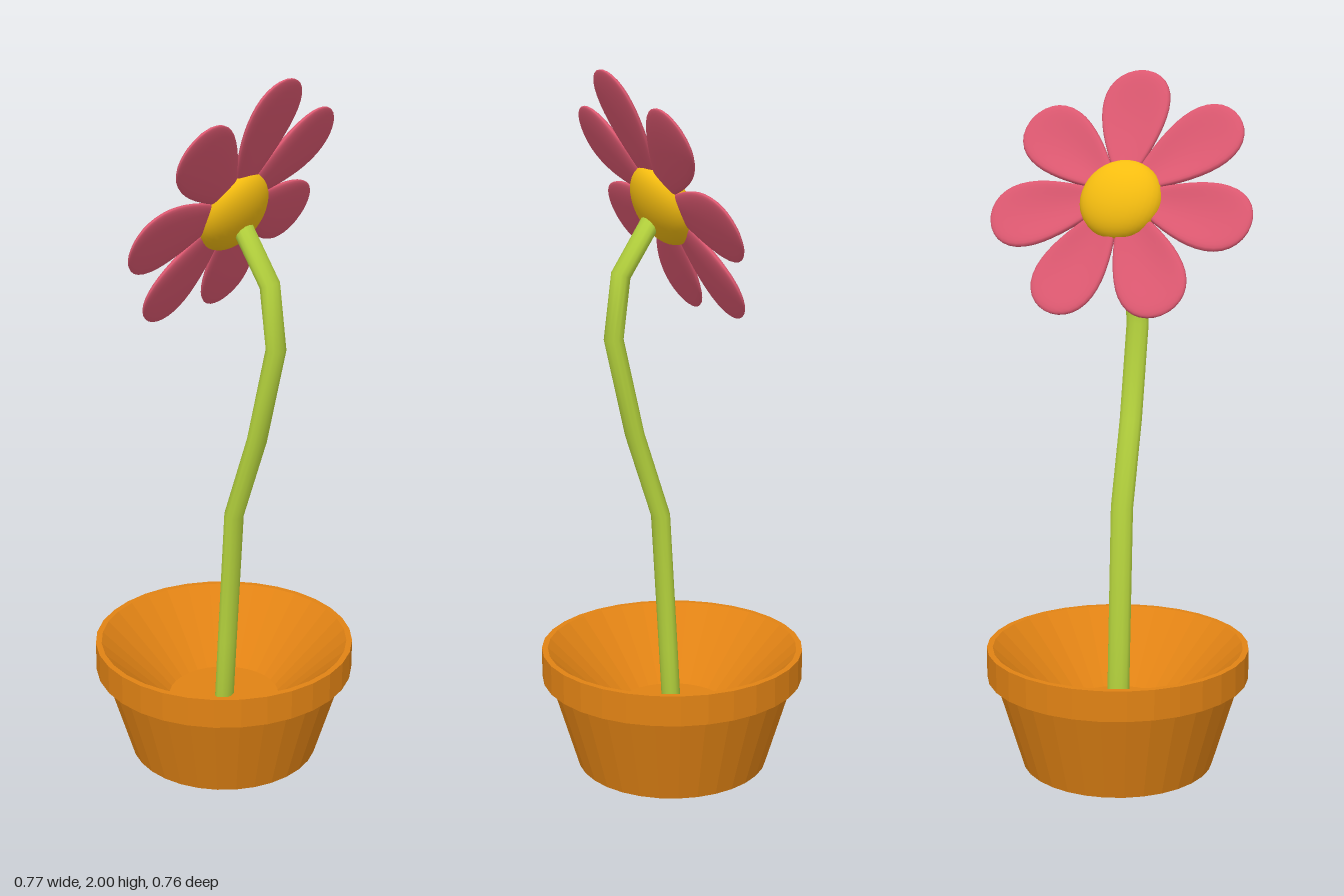
import * as THREE from 'three';
import { mergeVertices } from 'three/addons/utils/BufferGeometryUtils.js';

const mat = (color, opts = {}) => new THREE.MeshStandardMaterial({ color, ...opts });

function addMesh(parent, name, geometry, material) {
  const mesh = new THREE.Mesh(geometry, material);
  mesh.name = name;
  parent.add(mesh);
  return mesh;
}

// Move every vertex by a rule, then weld seams and smooth
function reshape(geometry, rule) {
  const pos = geometry.attributes.position;
  const v = new THREE.Vector3();
  for (let i = 0; i < pos.count; i++) {
    rule(v.fromBufferAttribute(pos, i));
    pos.setXYZ(i, v.x, v.y, v.z);
  }
  geometry.deleteAttribute('uv');
  geometry.deleteAttribute('normal');
  const welded = mergeVertices(geometry, 1e-5);
  welded.computeVertexNormals();
  return welded;
}

// Pot: outer wall, rim, sloping inside and floor in one profile
function potGeometry() {
  const profile = [
    [0, 0], [0.28, 0], [0.36, 0.265], [0.382, 0.265], [0.382, 0.352],
    [0.365, 0.352], [0.165, 0.16], [0, 0.16],
  ].map(([r, y]) => new THREE.Vector2(r, y));
  return new THREE.LatheGeometry(profile, 32);
}

// Stem: a straight tube whose rings follow a bent path [z, y], mitred at each bend
function stemGeometry() {
  const path = [
    [0, 0.12], [0.013, 0.35], [0.037, 0.755], [0.117, 1.0],
    [0.179, 1.275], [0.156, 1.45], [0.06, 1.6],
  ].map(([z, y]) => new THREE.Vector2(z, y));
  const last = path.length - 1;
  const geometry = new THREE.CylinderGeometry(1, 1, last, 12, last);
  return reshape(geometry, (v) => {
    const i = Math.round(v.y + last / 2);
    const along = path[Math.min(i + 1, last)].clone().sub(path[Math.max(i - 1, 0)]).normalize();
    const side = v.z * 0.026;
    v.set(v.x * 0.034, path[i].y - along.x * side, path[i].x + along.y * side);
  });
}

// Petal: flattened drop along +y, rounded behind, dished on its face
function petalGeometry() {
  return reshape(new THREE.SphereGeometry(1, 32, 20), (v) => {
    const t = v.y;
    const s = v.z;
    v.x *= 0.09 + 0.047 * t;
    v.y = 0.03 + 0.18 * (t + 1);
    v.z = s < 0 ? 0.014 * s : 0.04 * s * (1 - s);
  });
}

export function createModel() {
  const model = new THREE.Group();
  model.name = 'pottedFlower';

  addMesh(model, 'pot', potGeometry(), mat(0xe08214, { flatShading: true }));
  addMesh(model, 'stem', stemGeometry(), mat(0xb5d33d));

  // Flower head, facing back and upwards
  const flower = new THREE.Group();
  flower.name = 'flowerHead';
  flower.position.set(0, 1.65, 0.033);
  flower.rotation.set(0.481, Math.PI, 0);
  model.add(flower);

  const petal = petalGeometry();
  const pink = mat(0xdc5870);
  const count = 7;
  for (let i = 0; i < count; i++) {
    addMesh(flower, `petal${i + 1}`, petal, pink).rotation.z = (i / count) * Math.PI * 2;
  }

  const disc = addMesh(flower, 'flowerCentre', new THREE.SphereGeometry(1, 32, 20), mat(0xf5bd10));
  disc.scale.set(0.12, 0.12, 0.065);
  disc.position.set(0, -0.014, -0.004);

  return model;
}
